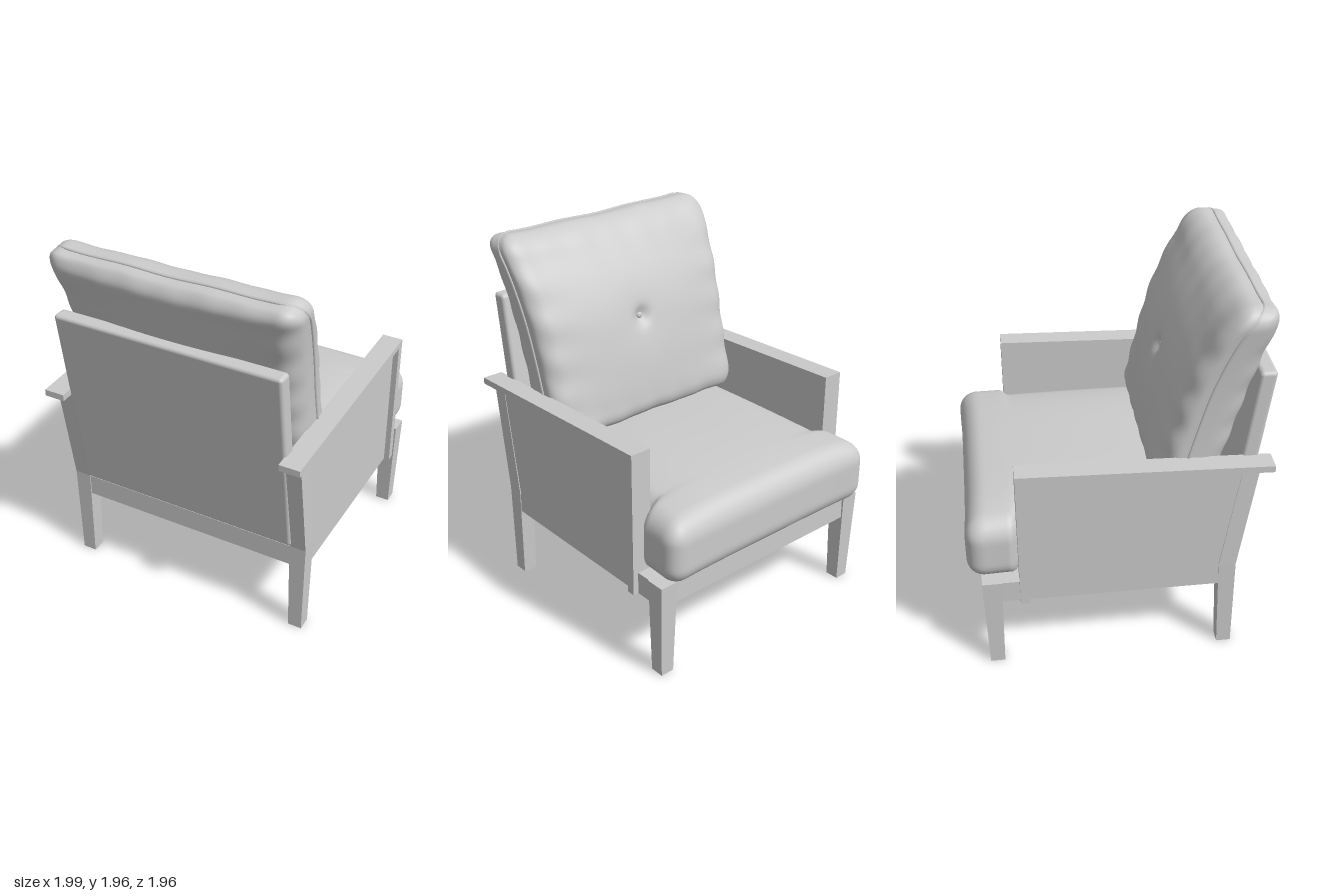
import * as THREE from 'three';
import { mergeVertices } from 'three/addons/utils/BufferGeometryUtils.js';
import { RoundedBoxGeometry } from 'three/addons/geometries/RoundedBoxGeometry.js';

const material = new THREE.MeshStandardMaterial({ color: 0xcccccc });

function add(parent, name, geometry, x = 0, y = 0, z = 0) {
  const mesh = new THREE.Mesh(geometry, material);
  mesh.name = name;
  mesh.position.set(x, y, z);
  parent.add(mesh);
  return mesh;
}

// Box running from a bottom square to a top square, for tapered or leaning posts
function taperedPost(y0, size0, z0, y1, size1, z1) {
  const g = new THREE.BoxGeometry(1, 1, 1);
  const p = g.attributes.position;
  for (let i = 0; i < p.count; i++) {
    const top = p.getY(i) > 0;
    const s = top ? size1 : size0;
    p.setXYZ(i, p.getX(i) * s, top ? y1 : y0, p.getZ(i) * s + (top ? z1 : z0));
  }
  g.computeVertexNormals();
  return g;
}

// Plate drawn in the side plane as [z, y] corners, with its thickness along x
function sidePlate(points, x0, x1) {
  const shape = new THREE.Shape(points.map(([z, y]) => new THREE.Vector2(z, y)));
  const g = new THREE.ExtrudeGeometry(shape, { depth: x1 - x0, bevelEnabled: false });
  return g.rotateY(-Math.PI / 2).translate(x1, 0, 0);
}

// Pull a box point onto a box with rounded edges of radius r
function roundPoint(v, half, r) {
  const inner = half.clone().subScalar(r);
  const core = v.clone().clamp(inner.clone().negate(), inner);
  const out = v.clone().sub(core);
  return out.lengthSq() > 0 ? core.add(out.setLength(r)) : core;
}

// Finely divided soft box whose rounded points are then moved by a rule
function softBox(half, r, segments, rule) {
  let g = new THREE.BoxGeometry(half.x * 2, half.y * 2, half.z * 2, ...segments);
  g.deleteAttribute('uv');
  g.deleteAttribute('normal');
  g = mergeVertices(g);
  const p = g.attributes.position;
  const v = new THREE.Vector3();
  for (let i = 0; i < p.count; i++) {
    const q = rule(roundPoint(v.fromBufferAttribute(p, i), half, r));
    p.setXYZ(i, q.x, q.y, q.z);
  }
  g.computeVertexNormals();
  return g;
}

// Seat cushion: narrow between the arms, wider in front of them, crowned on top
const seatHalf = new THREE.Vector3(0.675, 0.168, 0.685);
function seatRule(q) {
  const a = q.x / seatHalf.x, c = q.z / seatHalf.z;
  const crown = Math.max(0, 1 - a ** 4) * Math.sqrt(Math.max(0, 1 - c * c));
  if (q.y > 0) q.y += 0.06 * crown * (q.y / seatHalf.y);
  q.x *= THREE.MathUtils.lerp(0.9, 1, THREE.MathUtils.smoothstep(q.z, 0.41, 0.45));
  // Fuller front corners
  if (c > 0) {
    q.x += 0.02 * a ** 3 * c ** 6;
    q.z += 0.015 * a ** 4 * c;
  }
  return q;
}

// Back cushion: plump, pinched by the arms, folded at its border,
// leaning back with a thinner top that curls over the back panel
const backHalf = new THREE.Vector3(0.64, 0.51, 0.145);
function backRule(q) {
  const a = q.x / backHalf.x, b = q.y / backHalf.y, c = q.z / backHalf.z;
  const up = Math.max(0, b);
  const plump = Math.max(0, 1 - a * a) * Math.max(0, 1 - b * b);
  const rim = Math.max(a * a, b * b);
  const fold = 0.007 * rim * rim * (Math.sin(b * 17 + a * 2) * Math.abs(a) + Math.sin(a * 21 + b * 3) * Math.abs(b) * 0.5);
  q.z += c * (0.055 * plump + fold) + (1 - Math.abs(c)) * (0.04 - 0.05 * up ** 10);
  // Tuft around the button
  if (c > 0.5) {
    const d = Math.hypot(q.x, q.y - 0.03);
    q.z -= 0.035 * Math.exp(-d * d / 0.002) + 0.012 * Math.exp(-d * d / 0.02);
  }
  q.z -= 0.265 * q.y + (0.075 + 0.035 * c) * up * up;
  q.x *= 0.975 + 0.045 * b + 0.035 * a * a * b * b;
  q.y += 0.01 * a * a * b - 0.003 * Math.cos(a * 9) * b * b * b + 0.02 * c * up ** 8;
  return q;
}

// Piping that follows the middle of the back cushion's border
function pipingCurve() {
  const points = [];
  const corners = [[-1, -1], [1, -1], [1, 1], [-1, 1]];
  for (let k = 0; k < 4; k++) {
    const [ax, ay] = corners[k], [bx, by] = corners[(k + 1) % 4];
    for (let i = 0; i < 24; i++) {
      const t = i / 24;
      const v = new THREE.Vector3((ax + (bx - ax) * t) * backHalf.x, (ay + (by - ay) * t) * backHalf.y, 0);
      points.push(backRule(roundPoint(v, backHalf, 0.1)));
    }
  }
  return new THREE.CatmullRomCurve3(points, true);
}

export function createModel() {
  const model = new THREE.Group();
  model.name = 'armchair';
  const chair = new THREE.Group();
  chair.name = 'turnedChair';
  chair.rotation.y = THREE.MathUtils.degToRad(120);
  chair.position.set(-0.0075, 0, -0.013);
  model.add(chair);

  // Legs, arms and side panels, mirrored
  for (const [side, s] of [['left', 1], ['right', -1]]) {
    const half = new THREE.Group();
    half.name = side + 'Side';
    chair.add(half);
    const x = 0.65 * s;
    add(half, 'frontLeg', taperedPost(0, 0.075, 0.67, 0.535, 0.1, 0.674), x);
    add(half, 'backLeg', taperedPost(0, 0.075, -0.54, 0.535, 0.09, -0.53), x);
    add(half, 'backPost', taperedPost(0.535, 0.09, -0.53, 1.135, 0.085, -0.622), x);

    const plate = (name, points, x0, x1) =>
      add(half, name, s > 0 ? sidePlate(points, x0, x1) : sidePlate(points, -x1, -x0));
    plate('sideRail', [[-0.5, 0.41], [0.64, 0.41], [0.64, 0.53], [-0.5, 0.53]], 0.64, 0.69);
    plate('sidePanel', [[-0.5, 0.53], [0.5, 0.53], [0.5, 1.16], [-0.59, 1.125]], 0.618, 0.69);
    // Armrest turning down into the front upright
    plate('armrest', [[-0.73, 1.115], [0.49, 1.155], [0.49, 0.53], [0.535, 0.53], [0.535, 1.19], [-0.73, 1.15]], 0.608, 0.72);
    plate('armUprightFoot', [[0.49, 0.41], [0.535, 0.41], [0.535, 0.53], [0.49, 0.53]], 0.655, 0.72);
  }

  // Seat frame
  add(chair, 'frontRail', new THREE.BoxGeometry(1.24, 0.12, 0.05), 0, 0.47, 0.688);
  add(chair, 'backRail', new THREE.BoxGeometry(1.24, 0.12, 0.05), 0, 0.47, -0.545);
  add(chair, 'seatBase', new THREE.BoxGeometry(1.29, 0.095, 1.21), 0, 0.4825, 0.07);

  // Leaning back panel
  const shear = new THREE.Matrix4().set(1, 0, 0, 0, 0, 1, 0, 0, 0, -0.137, 1, 0, 0, 0, 0, 1);
  add(chair, 'backPanel', new RoundedBoxGeometry(1.235, 1.078, 0.085, 4, 0.02).applyMatrix4(shear), 0, 1.077, -0.618);

  // Cushions
  add(chair, 'seatCushion', softBox(seatHalf, 0.1, [56, 18, 72], seatRule), 0, 0.705, 0.1);
  const backCushion = new THREE.Group();
  backCushion.name = 'backCushion';
  backCushion.position.set(0, 1.43, -0.43);
  chair.add(backCushion);
  add(backCushion, 'pillow', softBox(backHalf, 0.09, [72, 64, 16], backRule));
  add(backCushion, 'piping', new THREE.TubeGeometry(pipingCurve(), 192, 0.008, 6, true));
  add(backCushion, 'button', new THREE.SphereGeometry(0.018, 16, 10).scale(1, 1, 0.6), 0, 0.03, 0.15);
  return model;
}
